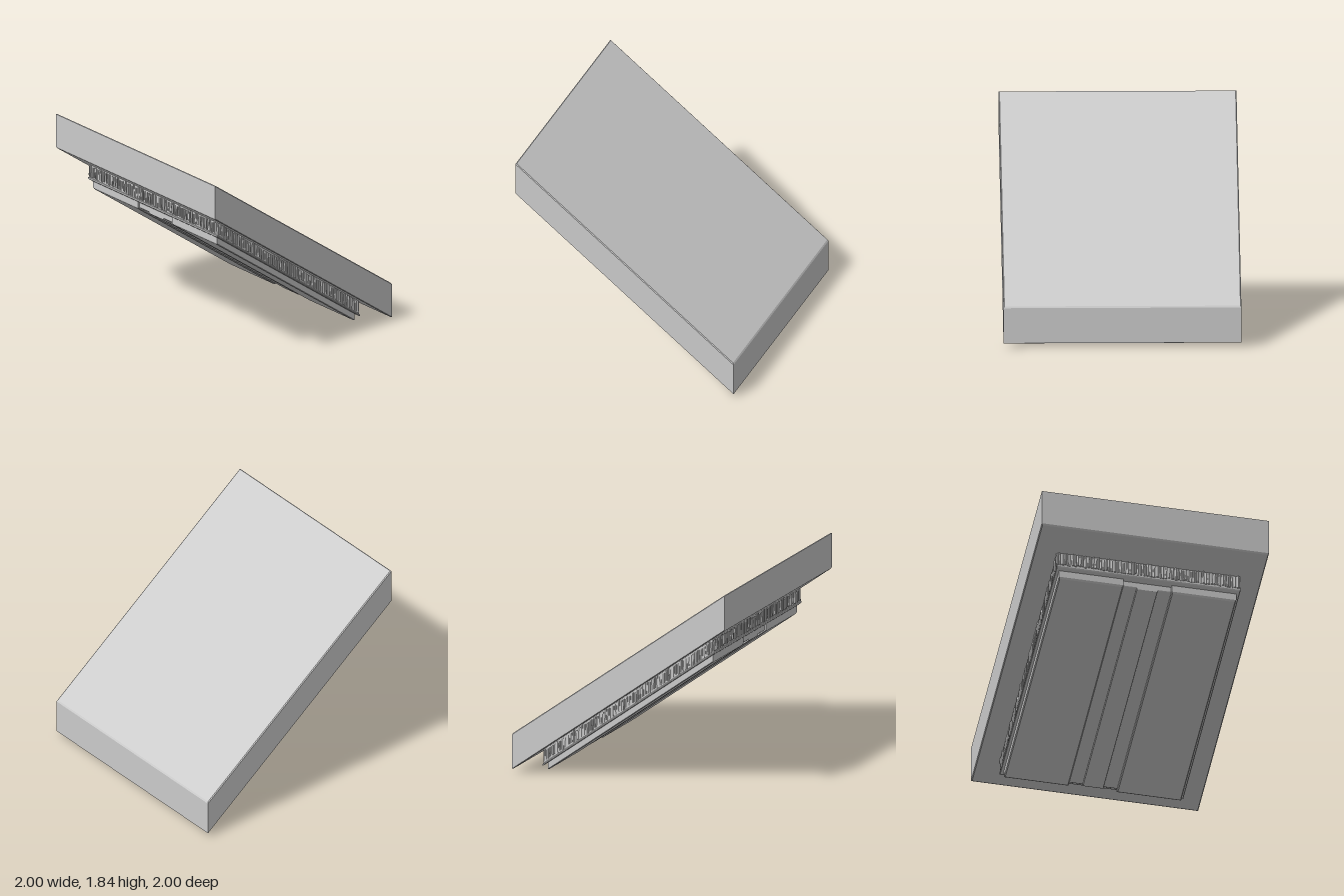
import * as THREE from 'three';
import { mergeGeometries } from 'three/addons/utils/BufferGeometryUtils.js';

const SLOPE = 0.75; // rise per unit of z
const material = new THREE.MeshStandardMaterial({ color: 0xcccccc, flatShading: true });

// Tilts a level geometry by shearing it, so its ends stay vertical.
function tilt(geometry) {
  const p = geometry.attributes.position;
  for (let i = 0; i < p.count; i++) p.setY(i, p.getY(i) + SLOPE * p.getZ(i));
  geometry.computeVertexNormals();
  return geometry;
}

// Box with chamfered edges, given by its limits.
function chamferBox(x0, x1, y0, y1, z0, z1, c) {
  const shape = new THREE.Shape();
  shape.moveTo(x0 + c, -z1 + c);
  shape.lineTo(x1 - c, -z1 + c);
  shape.lineTo(x1 - c, -z0 - c);
  shape.lineTo(x0 + c, -z0 - c);
  const g = new THREE.ExtrudeGeometry(shape, {
    depth: y1 - y0 - 2 * c, bevelEnabled: true, bevelSegments: 1, bevelSize: c, bevelThickness: c,
  });
  return g.rotateX(-Math.PI / 2).translate(0, y0 + c, 0);
}

function seeded(seed) {
  return () => (seed = (seed * 16807) % 2147483647) / 2147483647;
}

// Irregular upright flutes along one wall of the frieze, facing +z before turning.
function flutes(random, half) {
  const parts = [];
  let x = -half;
  while (x < half - 0.008) {
    const w = Math.min(0.014 + 0.018 * random(), half - x);
    const low = 0.667 + 0.02 * random();
    const high = 0.785 - 0.02 * random();
    const rib = new THREE.CylinderGeometry(w * (0.3 + 0.2 * random()), w * (0.3 + 0.2 * random()), high - low, 6);
    rib.scale(1, 1, 0.012 / (w * 0.5));
    rib.rotateZ((random() - 0.5) * 0.12);
    rib.translate(x + w / 2, (low + high) / 2, 0.8);
    parts.push(rib.toNonIndexed());
    x += w;
  }
  return mergeGeometries(parts);
}

export function createModel() {
  const model = new THREE.Group();
  const add = (name, geometry) => {
    const mesh = new THREE.Mesh(tilt(geometry), material);
    mesh.name = name;
    model.add(mesh);
  };

  // Thick sloping slab on top
  add('roofSlab', chamferBox(-1, 1, 0.785, 1.1, -1, 1, 0.008));

  // Frieze: plain core, fluted walls and a projecting lower lip
  add('friezeCore', chamferBox(-0.8, 0.8, 0.66, 0.8, -0.8, 0.8, 0.002));
  add('friezeLip', chamferBox(-0.81, 0.81, 0.647, 0.668, -0.81, 0.81, 0.006));
  const random = seeded(71);
  for (let i = 0; i < 4; i++) {
    add('friezeFlutes', flutes(random, 0.805).rotateY((i * Math.PI) / 2));
  }

  // Lower panels: two wide ones, two recessed strips and a centre strip
  for (const s of [-1, 1]) {
    const span = (a, b) => (s > 0 ? [a, b] : [-b, -a]);
    add('sidePanel', chamferBox(...span(0.212, 0.78), 0.582, 0.66, -0.775, 0.78, 0.009));
    add('recessedStrip', chamferBox(...span(0.088, 0.22), 0.602, 0.66, -0.762, 0.765, 0.004));
  }
  add('centreStrip', chamferBox(-0.09, 0.09, 0.587, 0.66, -0.762, 0.765, 0.002));

  return model;
}
